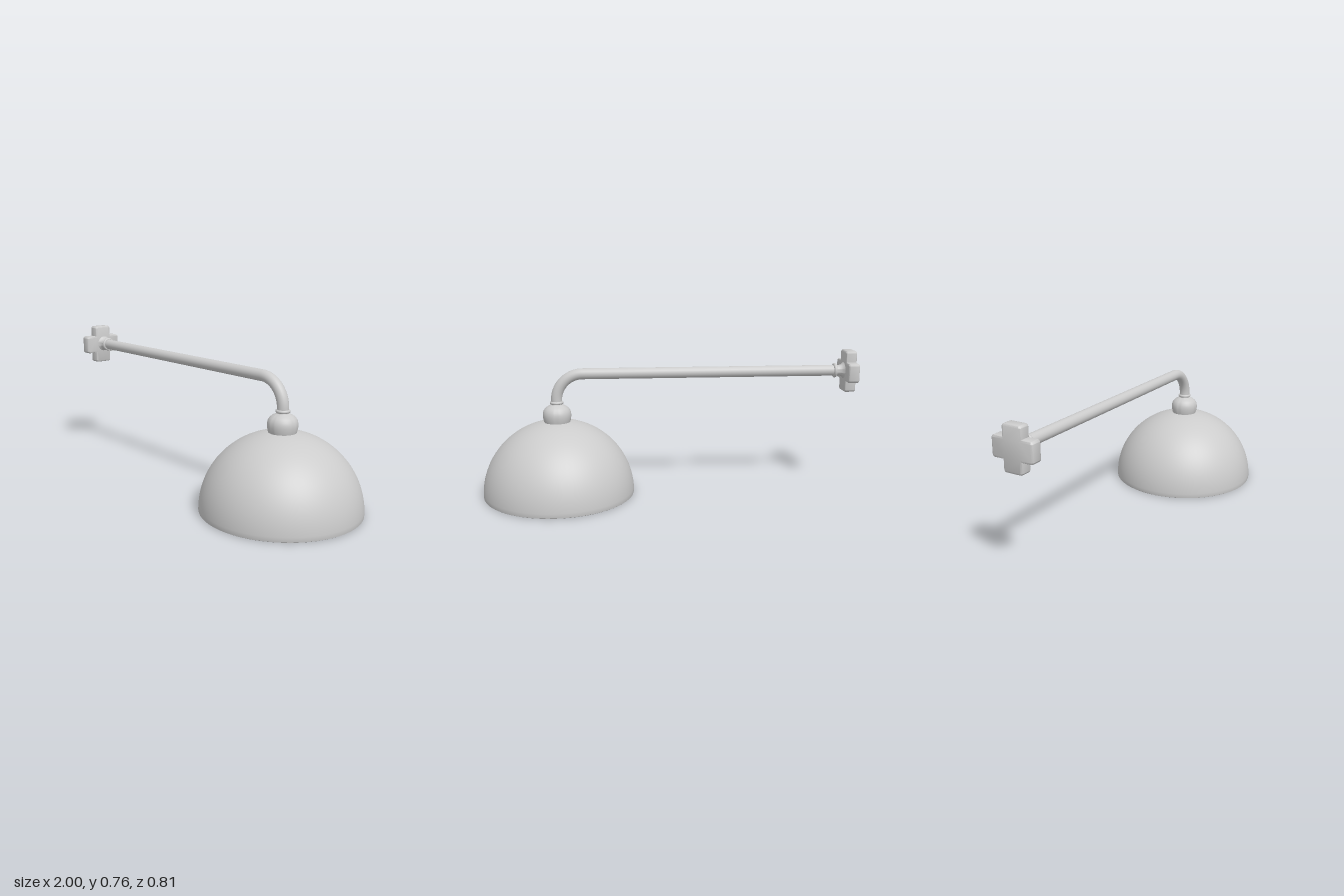
import * as THREE from 'three';
import { toCreasedNormals } from 'three/addons/utils/BufferGeometryUtils.js';

const material = new THREE.MeshStandardMaterial({ color: 0xcccccc });
const LAMP_X = 0.597, ARM_Y = 0.65, PIPE_R = 0.029;

function addMesh(group, name, geometry) {
  const mesh = new THREE.Mesh(geometry, material);
  mesh.name = name;
  group.add(mesh);
  return mesh;
}

function lathe(points, segments = 48) {
  const profile = points.map(([r, y]) => new THREE.Vector2(r, y));
  return toCreasedNormals(new THREE.LatheGeometry(profile, segments), 0.7);
}

// Plus-shaped outline with rounded outer corners
function crossShape(length, width, r) {
  const shape = new THREE.Shape();
  for (let i = 0; i < 4; i++) {
    const a = i * Math.PI / 2;
    const turn = (x, y) => [x * Math.cos(a) - y * Math.sin(a), x * Math.sin(a) + y * Math.cos(a)];
    const start = turn(length - r, -width);
    if (i === 0) shape.moveTo(...start); else shape.lineTo(...start);
    shape.absarc(...turn(length - r, -width + r), r, a - Math.PI / 2, a, false);
    shape.absarc(...turn(length - r, width - r), r, a, a + Math.PI / 2, false);
    shape.lineTo(...turn(width, width));
  }
  return shape;
}

export function createModel() {
  const model = new THREE.Group();

  // Hollow hemispherical shade with a rounded rim
  const shade = [];
  const steps = 32, rimY = 0.006;
  for (let i = 0; i <= steps; i++) {
    const a = (i / steps) * Math.PI / 2;
    shade.push([0.39 * Math.sin(a), rimY + 0.382 * Math.cos(a)]);
  }
  shade.push([0.391, 0.002], [0.394, 0], [0.399, 0], [0.402, 0.002]);
  for (let i = steps; i >= 0; i--) {
    const a = (i / steps) * Math.PI / 2;
    shade.push([0.403 * Math.sin(a), rimY + 0.395 * Math.cos(a)]);
  }
  shade.reverse();
  shade.reverse();
  addMesh(model, 'shade', lathe(shade, 64)).position.x = LAMP_X;

  // Bulbous socket cap on top of the shade
  addMesh(model, 'socketCap', lathe([
    [0, 0.385], [0.066, 0.385], [0.071, 0.402], [0.075, 0.425], [0.0745, 0.44], [0.071, 0.455],
    [0.063, 0.467], [0.051, 0.477], [0.038, 0.484], [0.031, 0.488], [0.029, 0.495], [0, 0.495],
  ])).position.x = LAMP_X;

  // Collar where the pipe meets the socket
  const socketCollar = addMesh(model, 'socketCollar', new THREE.TorusGeometry(0.028, 0.008, 12, 40));
  socketCollar.rotation.x = Math.PI / 2;
  socketCollar.position.set(LAMP_X, 0.498, 0);

  // Horizontal pipe bending down into the socket
  const bend = 0.14, k = bend * 0.45;
  const path = new THREE.CurvePath();
  const p = (x, y) => new THREE.Vector3(x, y, 0);
  const bendStart = p(LAMP_X - bend, ARM_Y), bendEnd = p(LAMP_X, ARM_Y - bend);
  path.add(new THREE.LineCurve3(p(-0.9, ARM_Y), bendStart));
  path.add(new THREE.CubicBezierCurve3(bendStart, p(LAMP_X - k, ARM_Y), p(LAMP_X, ARM_Y - k), bendEnd));
  path.add(new THREE.LineCurve3(bendEnd, p(LAMP_X, 0.488)));
  addMesh(model, 'armPipe', new THREE.TubeGeometry(path, 160, PIPE_R, 24));

  // Flared neck and collar joining the pipe to the wall mount
  const neck = addMesh(model, 'mountNeck', lathe([
    [0, 0], [0.046, 0], [0.036, 0.008], [0.03, 0.018], [0.028, 0.03], [0.028, 0.055], [0, 0.055],
  ]));
  neck.rotation.z = -Math.PI / 2;
  neck.position.set(-0.942, ARM_Y, 0);
  const mountCollar = addMesh(model, 'mountCollar', new THREE.TorusGeometry(0.03, 0.009, 12, 40));
  mountCollar.rotation.y = Math.PI / 2;
  mountCollar.position.set(-0.893, ARM_Y, 0);

  // Cross-shaped wall mount with softened edges
  const bevel = 0.009, thickness = 0.06;
  const cross = new THREE.ExtrudeGeometry(crossShape(0.11, 0.051, 0.014), {
    depth: thickness - 2 * bevel, bevelEnabled: true, bevelSize: bevel, bevelOffset: -bevel,
    bevelThickness: bevel, bevelSegments: 4, curveSegments: 5,
  });
  cross.translate(0, 0, bevel);
  const mount = addMesh(model, 'wallMount', toCreasedNormals(cross, 0.8));
  mount.rotation.y = Math.PI / 2;
  mount.position.set(-1, 0.647, 0.005);

  return model;
}
